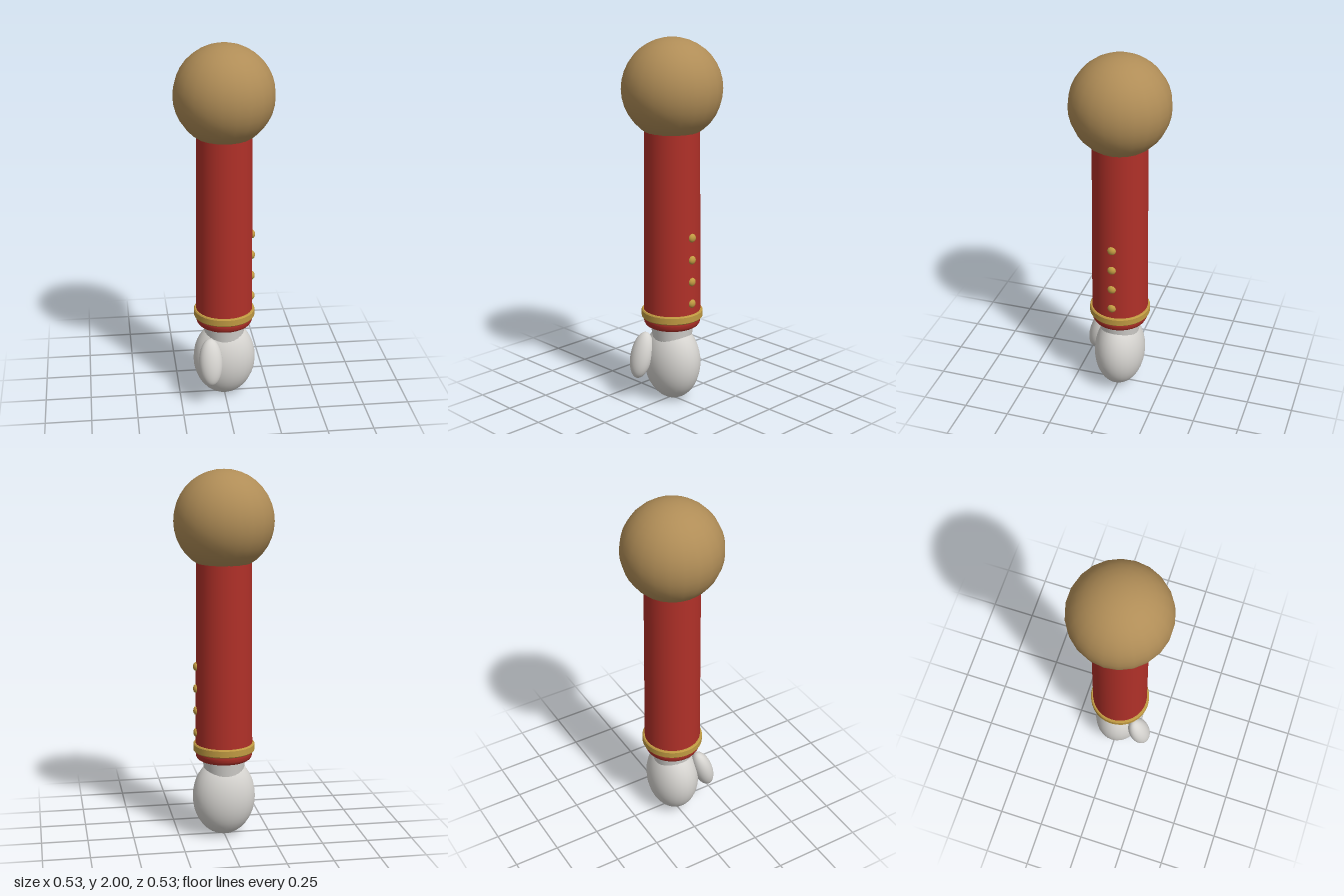
import * as THREE from 'three';

const material = (name, color) => {
  const m = new THREE.MeshStandardMaterial({ color });
  m.name = name;
  return m;
};

export function createModel() {
  const tan = material('tan', 0xb08d57);
  const red = material('red', 0xb03028);
  const gold = material('gold', 0xc09a42);
  const white = material('glove white', 0xd6d4d0);

  const group = new THREE.Group();
  group.name = 'arm';

  const add = (name, geometry, mat, x = 0, y = 0, z = 0) => {
    const mesh = new THREE.Mesh(geometry, mat);
    mesh.name = name;
    mesh.position.set(x, y, z);
    group.add(mesh);
    return mesh;
  };
  const ellipsoid = (rx, ry, rz, w = 28, h = 20) =>
    new THREE.SphereGeometry(1, w, h).scale(rx, ry, rz);
  // Lathe from [radius, height] pairs, listed bottom to top
  const lathe = (points, segments = 32) =>
    new THREE.LatheGeometry(points.map(([r, y]) => new THREE.Vector2(r, y)), segments);

  // Shoulder ball
  add('shoulder', new THREE.SphereGeometry(0.267, 22, 18), tan, 0, 1.733, 0);

  // Sleeve, with a rounded lower hem
  add('sleeve', new THREE.CylinderGeometry(0.147, 0.155, 1.05, 32, 1, true), red, 0, 0.995, 0);
  add('sleeveHem', lathe([[0.135, 0.435], [0.146, 0.442], [0.153, 0.455], [0.155, 0.47]]), red);
  add('sleeveEnd', new THREE.CircleGeometry(0.135, 32).rotateX(Math.PI / 2), red, 0, 0.435, 0);

  // Cuff band: flat outer face with small bevels
  const band = [
    [[0.15, 0.482], [0.162, 0.482]],
    [[0.162, 0.482], [0.167, 0.488]],
    [[0.167, 0.488], [0.167, 0.521]],
    [[0.167, 0.521], [0.162, 0.527]],
    [[0.162, 0.527], [0.15, 0.527]],
  ];
  for (const strip of band) add('cuffBand', lathe(strip), gold);

  // Column of buttons on the outer side
  for (let i = 0; i < 4; i++) {
    add('button', ellipsoid(0.018, 0.024, 0.024, 14, 10), gold, 0.15, 0.588 + i * 0.122, 0);
  }

  // Gloved hand
  add('wrist', new THREE.CylinderGeometry(0.119, 0.102, 0.12, 28), white, 0, 0.385, 0);
  add('hand', ellipsoid(0.172, 0.217, 0.14), white, 0, 0.222, 0);
  const thumb = add('thumb', ellipsoid(0.065, 0.13, 0.055), white, -0.09, 0.265, 0.147);
  thumb.rotation.x = -0.3;

  return group;
}
